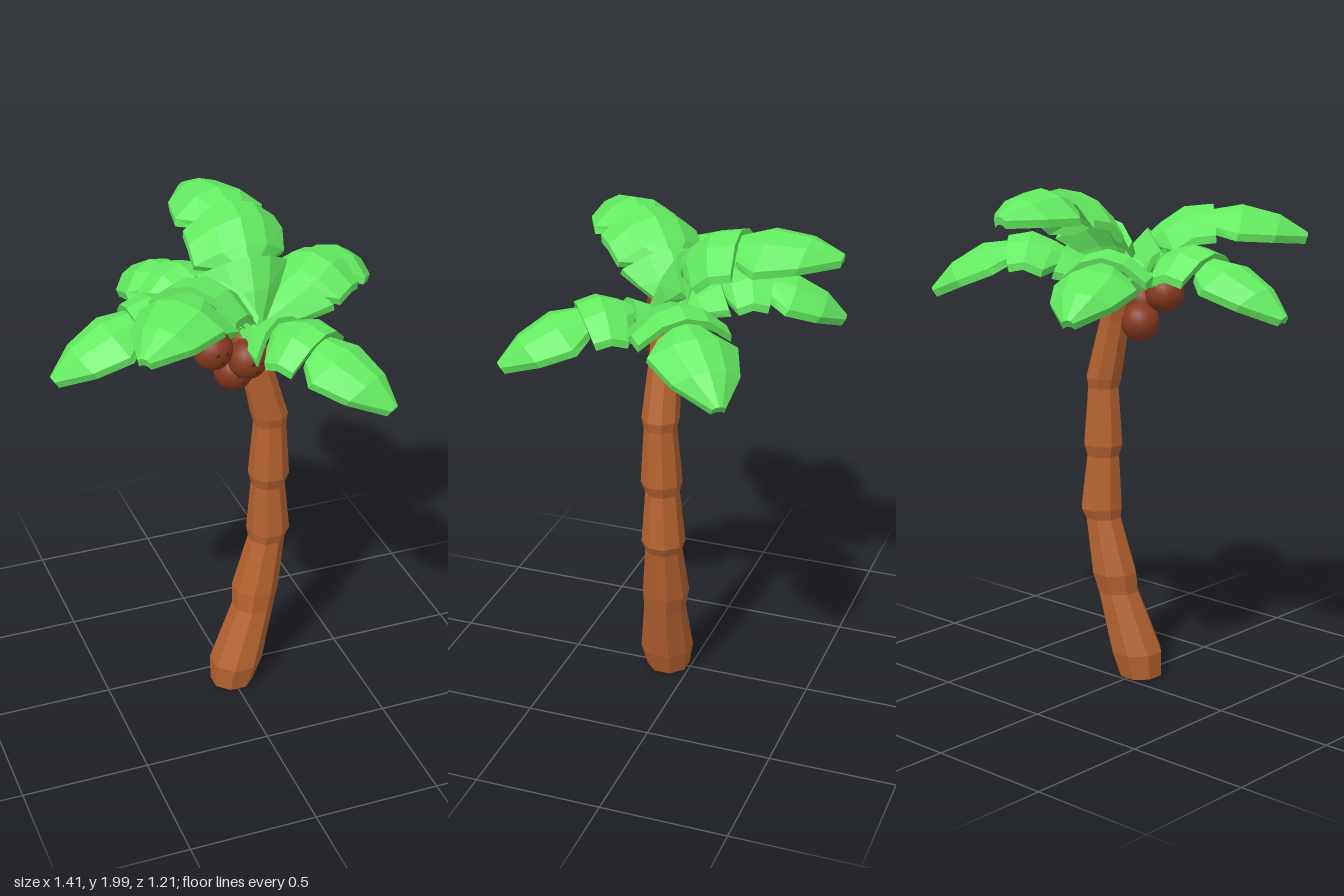
import * as THREE from 'three';

const mat = (color, flatShading = true) => new THREE.MeshStandardMaterial({ color, flatShading });
const V = (x, y, z) => new THREE.Vector3(x, y, z);

// Skin a list of equal rings (counter-clockwise seen from the last one) and cap both ends
function loft(rings) {
  const n = rings[0].length, last = rings.length - 1, index = [];
  const quad = (a, b, c, d) => index.push(a, b, c, a, c, d);
  for (let j = 0; j < last; j++) {
    for (let i = 0; i < n; i++) {
      const k = (i + 1) % n;
      quad(j * n + i, j * n + k, (j + 1) * n + k, (j + 1) * n + i);
    }
  }
  for (let i = 0; i < n / 2 - 1; i++) {
    const e = last * n;
    quad(e + i, e + i + 1, e + n - 2 - i, e + n - 1 - i);
    quad(n - 1 - i, n - 2 - i, i + 1, i);
  }
  const indexed = new THREE.BufferGeometry().setFromPoints(rings.flat());
  indexed.setIndex(index);
  const geometry = indexed.toNonIndexed();
  geometry.computeVertexNormals();
  return geometry;
}

// Leaf plates: [position along the plate, share of the full half width, lift]
const PLATES = [
  [[0, 0.2, 0], [0.5, 0.72, 0], [1, 1, 0]],
  [[0, 0.55, -0.02], [0.2, 0.98, -0.01], [0.6, 1.03, 0.01], [1, 1, 0]],
  [[0, 0.58, -0.02], [0.31, 0.97, 0.015], [0.68, 0.72, 0.028], [1, 0.14, 0]],
];

// A frond of three overlapping arched plates along a root-to-tip curve
function makeFrond(points, halfWidth, material) {
  const frond = new THREE.Group();
  frond.name = 'frond';
  const pts = points.map((p) => V(...p));
  const curve = new THREE.CatmullRomCurve3(pts);
  const side = pts[3].clone().sub(pts[0]).cross(V(0, 1, 0)).normalize();
  PLATES.forEach((stations, k) => {
    const rings = stations.map(([s, share, lift]) => {
      const t = (k + s) / 3;
      const up = side.clone().cross(curve.getTangent(t)).normalize();
      const centre = curve.getPoint(t).addScaledVector(up, lift);
      const w = halfWidth * share;
      const at = (u, depth) => centre.clone().addScaledVector(side, u * w)
        .addScaledVector(up, -0.55 * w * u * u - depth);
      const us = [-1, -0.5, 0, 0.5, 1];
      return [...us.map((u) => at(u, 0)), ...us.map((u) => at(-u, 0.03))];
    });
    const plate = new THREE.Mesh(loft(rings), material);
    plate.name = 'leafPlate';
    frond.add(plate);
  });
  return frond;
}

export function createModel() {
  const model = new THREE.Group();
  model.name = 'palmTree';

  // Trunk: x, y, z, radius of each ring, with a flared collar at every joint
  const trunkRings = [
    [0, 0, 0.095, 0.087], [0.02, 0.1, 0.093, 0.106], [0.1, 0.34, 0.072, 0.084],
    [0.113, 0.42, 0.062, 0.093], [0.163, 0.64, 0.052, 0.073], [0.17, 0.68, 0.05, 0.086],
    [0.165, 0.895, 0.055, 0.067], [0.167, 0.94, 0.057, 0.081], [0.168, 1.17, 0.06, 0.064],
    [0.165, 1.21, 0.06, 0.073], [0.105, 1.45, 0.06, 0.061], [0.065, 1.58, 0.06, 0.066],
  ].map(([x, y, z, r]) => Array.from({ length: 8 }, (_, i) => {
    const a = (i + 0.5) * Math.PI / 4;
    return V(x + r * Math.cos(a), y, z - r * Math.sin(a));
  }));
  const trunk = new THREE.Mesh(loft(trunkRings), mat(0xb5622f));
  trunk.name = 'trunk';
  model.add(trunk);

  // Fronds: root, two joints, tip, then half width
  const leaf = mat(0x63ea60);
  const fronds = [
    [[[0.085, 1.63, 0.13], [0.1, 1.855, 0.01], [0.115, 1.98, -0.235], [0.06, 1.915, -0.605]], 0.185],
    [[[0.08, 1.61, 0.08], [0.28, 1.74, -0.02], [0.47, 1.765, -0.155], [0.7, 1.56, -0.355]], 0.17],
    [[[0.04, 1.6, 0.07], [-0.05, 1.74, -0.09], [-0.135, 1.75, -0.28], [-0.22, 1.565, -0.55]], 0.165],
    [[[0.06, 1.59, 0.04], [0.15, 1.67, 0.17], [0.265, 1.67, 0.35], [0.44, 1.47, 0.6]], 0.17],
    [[[0.08, 1.63, 0], [-0.035, 1.815, 0.09], [-0.215, 1.905, 0.265], [-0.48, 1.795, 0.515]], 0.175],
    [[[0.04, 1.61, 0.05], [-0.17, 1.755, 0.03], [-0.395, 1.755, 0.06], [-0.7, 1.55, 0.1]], 0.165],
  ];
  for (const [points, halfWidth] of fronds) model.add(makeFrond(points, halfWidth, leaf));

  // Coconuts, each with three dark eyes on the front
  const shell = mat(0x86391f, false), dark = mat(0x54230f, false);
  const radius = 0.076;
  for (const [x, y, z] of [[-0.09, 1.565, 0.13], [0.04, 1.515, 0.152], [0.005, 1.445, 0.095]]) {
    const coconut = new THREE.Group();
    coconut.name = 'coconut';
    coconut.position.set(x, y, z);
    const body = new THREE.Mesh(new THREE.SphereGeometry(radius, 20, 14), shell);
    body.name = 'coconutShell';
    coconut.add(body);
    for (let i = 0; i < 3; i++) {
      const a = 0.5 + i * Math.PI * 2 / 3;
      const eye = new THREE.Mesh(new THREE.SphereGeometry(0.011, 8, 6), dark);
      eye.name = 'coconutEye';
      eye.position.set(0.32 * Math.cos(a) + 0.2, 0.32 * Math.sin(a), 1).setLength(radius - 0.008);
      coconut.add(eye);
    }
    model.add(coconut);
  }
  return model;
}
